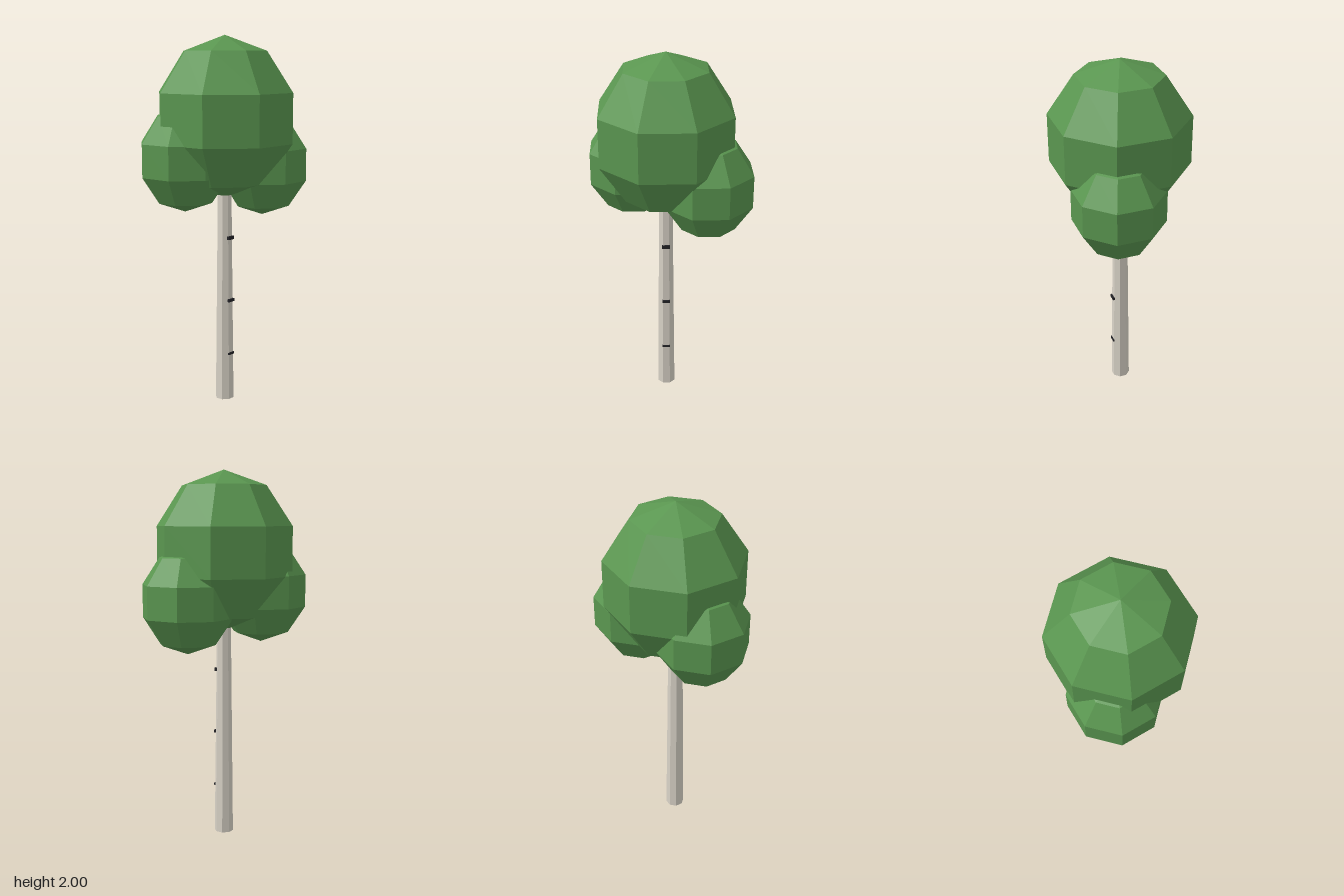
import * as THREE from 'three';

export function createModel() {
  const tree = new THREE.Group();
  tree.name = 'tree';

  const material = (name, color) => {
    const m = new THREE.MeshStandardMaterial({ color, flatShading: true });
    m.name = name;
    return m;
  };
  const leafGreen = material('leaf green', 0x5a9650);
  const barkWhite = material('pale bark', 0xd9d3c7);
  const barkDark = material('dark bark', 0x222226);

  const add = (name, geometry, mat, x, y, z) => {
    const mesh = new THREE.Mesh(geometry, mat);
    mesh.name = name;
    mesh.position.set(x, y, z);
    tree.add(mesh);
    return mesh;
  };
  const cx = -0.024, cz = 0.007;

  // Tapered eight-sided trunk, ending inside the canopy
  const trunkHeight = 1.25;
  const trunk = new THREE.CylinderGeometry(0.038, 0.052, trunkHeight, 8).rotateY(Math.PI / 8);
  add('trunk', trunk, barkWhite, cx, trunkHeight / 2, cz);

  // Dark bark marks on the front face
  [[0.265, 0.050, 0.012], [0.57, 0.050, 0.016], [0.92, 0.047, 0.019]].forEach(([y, z, h], i) => {
    add(`barkMark${i + 1}`, new THREE.BoxGeometry(0.043, h, 0.016), barkDark, cx, y, z);
  });

  // Faceted leaf clumps, slightly taller than wide
  const clump = (name, radius, x, y, z) => {
    const g = new THREE.SphereGeometry(radius, 8, 5).rotateY(Math.PI / 8).scale(1, 1.1, 1);
    add(name, g, leafGreen, x, y, z);
  };
  clump('mainCanopy', 0.391, -0.023, 1.57, 0.007);
  clump('leftFrontCanopy', 0.258, 0.196, 1.31, 0.094);
  clump('rightBackCanopy', 0.258, -0.197, 1.353, -0.124);

  return tree;
}
